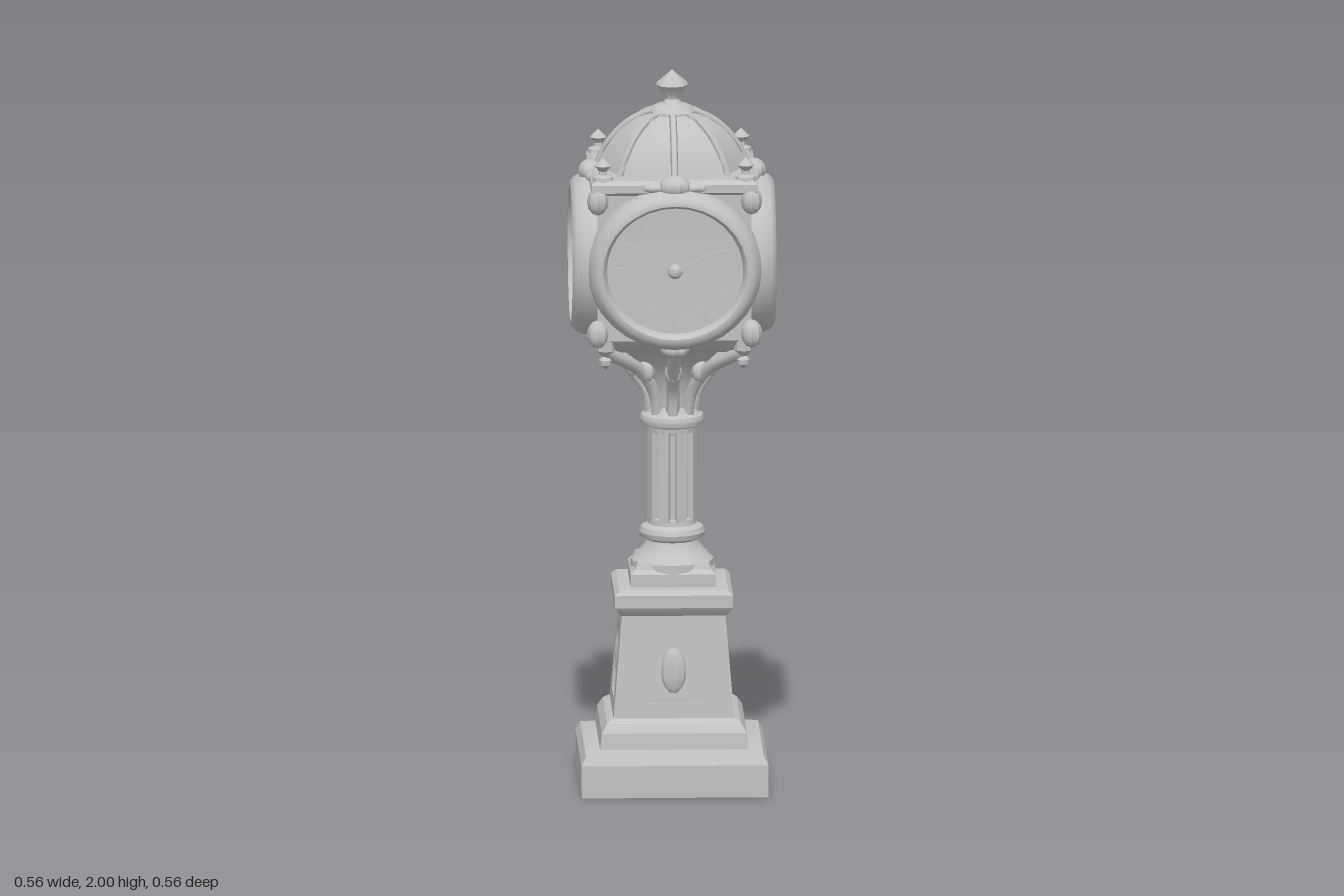
import * as THREE from 'three';
import { toCreasedNormals } from 'three/addons/utils/BufferGeometryUtils.js';

const stone = new THREE.MeshStandardMaterial({ color: 0xc2c2c2 });
stone.name = 'grey cast stone';

const V = (x, y, z) => new THREE.Vector3(x, y, z);

function add(parent, name, geometry, x = 0, y = 0, z = 0, crease = 0.6) {
  const mesh = new THREE.Mesh(toCreasedNormals(geometry, crease), stone);
  mesh.name = name;
  mesh.position.set(x, y, z);
  parent.add(mesh);
  return mesh;
}

// Turned profile, listed from bottom to top as [radius, height]
function turned(profile, sides, start = 0) {
  return new THREE.LatheGeometry(profile.map(([r, y]) => new THREE.Vector2(r, y)), sides, start);
}

// Square moulding: the first number is the half width
function squared(profile) {
  return turned(profile.map(([r, y]) => [r * Math.SQRT2, y]), 4, Math.PI / 4);
}

function trapezoid(y0, w0, y1, w1) {
  const s = new THREE.Shape();
  s.moveTo(-w0, y0); s.lineTo(w0, y0); s.lineTo(w1, y1); s.lineTo(-w1, y1);
  s.closePath();
  return s;
}

function arch(shape, half, y0, spring) {
  shape.moveTo(-half, y0);
  shape.lineTo(half, y0);
  shape.lineTo(half, spring);
  shape.absarc(0, spring, half, 0, Math.PI, false);
  shape.lineTo(-half, y0);
  return shape;
}

function makePedestal() {
  const g = new THREE.Group();
  g.name = 'pedestal';
  add(g, 'foot', squared([[0, 0], [0.257, 0], [0.258, 0.09], [0.245, 0.115], [0.205, 0.125], [0.2, 0.17],
    [0.185, 0.195], [0.17, 0.205], [0.15, 0.21], [0.125, 0.5], [0, 0.5]]), 0, 0, 0, 0.4);
  add(g, 'cap', squared([[0.13, 0.48], [0.15, 0.495], [0.163, 0.515], [0.163, 0.55], [0.15, 0.562], [0.118, 0.565],
    [0.118, 0.6], [0.105, 0.612], [0.098, 0.63], [0, 0.635]]), 0, 0, 0, 0.4);
  // Four sloping sides, each with an arched niche
  const side = trapezoid(0, 0.167, 0.3, 0.142);
  side.holes.push(arch(new THREE.Path(), 0.075, 0.045, 0.17));
  const panel = new THREE.ExtrudeGeometry(side, { depth: 0.02, bevelEnabled: false, curveSegments: 8 });
  for (let i = 0; i < 4; i++) {
    const face = new THREE.Group();
    face.name = 'pedestalSide';
    face.rotation.y = i * Math.PI / 2;
    const p = add(face, 'nichePanel', panel, 0, 0.2, 0.147);
    p.rotation.x = -0.083;
    const boss = add(face, 'nicheBoss', new THREE.SphereGeometry(1, 10, 8), 0, 0.335, 0.142);
    boss.scale.set(0.035, 0.065, 0.016);
    g.add(face);
  }
  g.scale.z = 0.96;
  return g;
}

function makeColumn() {
  const g = new THREE.Group();
  g.name = 'column';
  add(g, 'columnBase', turned([[0.115, 0.6], [0.115, 0.625], [0.095, 0.645], [0.075, 0.67], [0.072, 0.68], [0.088, 0.688],
    [0.092, 0.702], [0.086, 0.716], [0.066, 0.724], [0.064, 0.74], [0.052, 0.745]], 16));
  add(g, 'shaft', new THREE.CylinderGeometry(0.054, 0.056, 0.3, 16, 1, true), 0, 0.87, 0);
  // Raised strips between the flutes
  for (let i = 0; i < 8; i++) {
    const a = (i + 0.5) * Math.PI / 4;
    const strip = add(g, 'shaftStrip', new THREE.BoxGeometry(0.03, 0.27, 0.02), Math.sin(a) * 0.057, 0.87, Math.cos(a) * 0.057);
    strip.rotation.y = a;
  }
  add(g, 'columnCollar', turned([[0.052, 0.98], [0.068, 0.985], [0.07, 1.0], [0.086, 1.006], [0.09, 1.02], [0.086, 1.032],
    [0.07, 1.042], [0.062, 1.06]], 16));
  add(g, 'neck', turned([[0.062, 1.04], [0.064, 1.08], [0.075, 1.13], [0.1, 1.18], [0.145, 1.225], [0.19, 1.25], [0, 1.26]], 16));
  // Curved brackets carrying the head
  for (let i = 0; i < 8; i++) {
    const a = i * Math.PI / 4, reach = i % 2 ? 0.27 : 0.18;
    const at = (r, y) => V(Math.sin(a) * r, y, Math.cos(a) * r);
    const path = new THREE.CatmullRomCurve3([at(0.06, 1.04), at(0.072, 1.1), at(0.11 + reach * 0.06, 1.17), at(reach, 1.245)]);
    add(g, 'neckBracket', new THREE.TubeGeometry(path, 10, 0.018, 6), 0, 0, 0, 1.2);
    const scroll = add(g, 'bracketScroll', new THREE.SphereGeometry(0.025, 8, 6), ...at(0.105, 1.165).toArray());
    scroll.scale.y = 1.3;
  }
  return g;
}

// Tapered pointer with a bulge, lying on the dial
function pointer(length, width) {
  const s = new THREE.Shape();
  s.moveTo(0, -0.006);
  s.lineTo(length * 0.4, -0.006);
  s.lineTo(length * 0.6, -width);
  s.lineTo(length, 0);
  s.lineTo(length * 0.6, width);
  s.lineTo(length * 0.4, 0.006);
  s.lineTo(0, 0.006);
  return new THREE.ExtrudeGeometry(s, { depth: 0.009, bevelEnabled: false });
}

function makeDial() {
  const g = new THREE.Group();
  g.name = 'clockFace';
  const drum = turned([[0.235, 0.18], [0.242, 0.215], [0.238, 0.245], [0.226, 0.268], [0.213, 0.281], [0.2, 0.281],
    [0.192, 0.27], [0.188, 0.25], [0, 0.245]], 32);
  drum.rotateX(Math.PI / 2);
  add(g, 'dialDrum', drum, 0, 0, 0, 0.9).scale.y = 0.94;
  for (let i = 0; i < 12; i++) {
    const a = i * Math.PI / 6;
    const mark = add(g, 'hourMark', new THREE.BoxGeometry(i % 3 ? 0.01 : 0.016, 0.036, 0.008),
      Math.sin(a) * 0.158, Math.cos(a) * 0.15, 0.249);
    mark.rotation.z = -a;
  }
  const hour = add(g, 'hourHand', pointer(0.165, 0.013), 0, 0, 0.256);
  hour.rotation.z = 0.4;
  const minute = add(g, 'minuteHand', pointer(0.185, 0.013), 0, 0, 0.256);
  minute.rotation.z = Math.PI - 0.5;
  add(g, 'handHub', new THREE.SphereGeometry(0.021, 10, 8), 0, 0, 0.256);
  // Crest above and drop below the rim
  const crest = add(g, 'rimCrest', new THREE.SphereGeometry(1, 10, 8), 0, 0.232, 0.225);
  crest.scale.set(0.045, 0.032, 0.035);
  for (const s of [-1, 1]) {
    const wing = add(g, 'crestScroll', new THREE.SphereGeometry(1, 8, 6), s * 0.055, 0.228, 0.222);
    wing.scale.set(0.04, 0.014, 0.02);
  }
  const drop = add(g, 'rimDrop', new THREE.SphereGeometry(1, 8, 6), 0, -0.23, 0.21);
  drop.scale.set(0.04, 0.025, 0.035);
  return g;
}

function makeHead() {
  const g = new THREE.Group();
  g.name = 'clockHead';
  add(g, 'headCase', squared([[0, 1.24], [0.15, 1.235], [0.19, 1.255], [0.212, 1.28], [0.212, 1.69], [0.23, 1.7],
    [0.23, 1.722], [0.215, 1.732], [0, 1.735]]), 0, 0, 0, 0.4);
  for (let i = 0; i < 4; i++) {
    const dial = makeDial();
    dial.position.y = 1.485;
    dial.rotation.y = i * Math.PI / 2;
    g.add(dial);
  }
  // Corner finials, pendants and scrolls
  const finial = turned([[0.03, 0], [0.028, 0.012], [0.012, 0.018], [0.011, 0.028], [0.024, 0.043], [0, 0.066]], 8);
  const pendant = turned([[0, 0], [0.016, 0.014], [0.018, 0.028], [0.01, 0.038], [0.026, 0.055], [0.026, 0.09], [0, 0.095]], 8);
  for (const x of [-1, 1]) for (const z of [-1, 1]) {
    add(g, 'cornerFinial', finial, x * 0.197, 1.728, z * 0.192);
    add(g, 'cornerPendant', pendant, x * 0.19, 1.195, z * 0.19);
    for (const y of [1.3, 1.675]) {
      const scroll = add(g, 'cornerScroll', new THREE.SphereGeometry(1, 8, 6), x * 0.212, y, z * 0.212);
      scroll.scale.set(0.03, 0.04, 0.03);
    }
  }
  return g;
}

function makeRoof() {
  const g = new THREE.Group();
  g.name = 'roof';
  const curve = [[0.212, 1.725], [0.2, 1.757], [0.178, 1.795], [0.145, 1.835], [0.1, 1.868], [0.05, 1.885]];
  add(g, 'dome', turned(curve, 8), 0, 0, 0, 0.5);
  for (let i = 0; i < 8; i++) {
    const a = i * Math.PI / 4;
    const path = new THREE.CatmullRomCurve3(curve.map(([r, y]) => V(Math.sin(a) * r, y, Math.cos(a) * r)));
    add(g, 'domeRib', new THREE.TubeGeometry(path, 12, 0.01, 6), 0, 0, 0, 1.2);
  }
  add(g, 'topCollar', turned([[0.066, 1.865], [0.066, 1.885], [0.052, 1.9], [0.028, 1.906], [0.017, 1.918], [0.019, 1.928],
    [0.045, 1.958], [0.04, 1.967], [0, 2.0]], 8));
  return g;
}

export function createModel() {
  const model = new THREE.Group();
  model.name = 'streetClock';
  model.add(makePedestal(), makeColumn(), makeHead(), makeRoof());
  return model;
}
